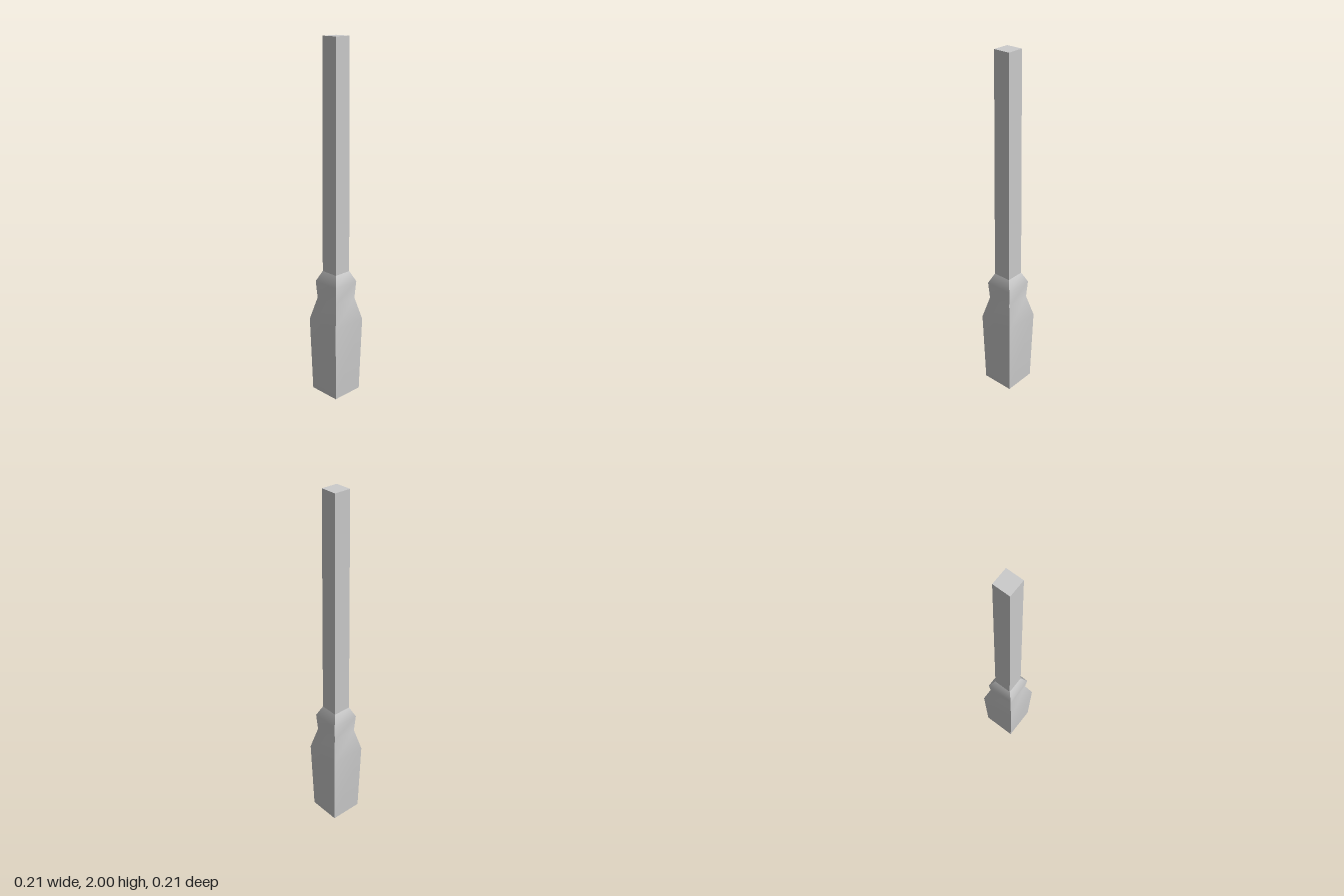
import * as THREE from 'three';
import { mergeGeometries } from 'three/addons/utils/BufferGeometryUtils.js';

// Square tube following a profile of [half width, height]; smooth along the height, sharp at the corners
function squareTube(profile) {
  const sides = [];
  for (let i = 0; i < 4; i++) {
    const side = new THREE.PlaneGeometry(1, 1, 1, profile.length - 1);
    const rows = [...profile].reverse();
    const pos = side.attributes.position;
    for (let v = 0; v < pos.count; v++) {
      const [half, y] = rows[Math.floor(v / 2)];
      pos.setXYZ(v, v % 2 ? half : -half, y, half);
    }
    side.computeVertexNormals();
    sides.push(side.rotateY(i * Math.PI / 2));
  }
  return mergeGeometries(sides);
}

export function createModel() {
  const group = new THREE.Group();
  const material = new THREE.MeshStandardMaterial({ color: 0xcccccc, side: THREE.DoubleSide });
  const add = (name, geometry) => {
    const mesh = new THREE.Mesh(geometry, material);
    mesh.name = name;
    group.add(mesh);
    return mesh;
  };

  // Flared foot with a waist and collar, open underneath
  add('base', squareTube([[0.094, 0], [0.105, 0.44], [0.073, 0.57], [0.08, 0.67], [0.052, 0.73]]));

  // Slightly tapered square shaft
  add('shaft', squareTube([[0.052, 0.73], [0.0475, 2]]));

  // Flat end of the shaft
  const cap = add('topCap', new THREE.PlaneGeometry(0.095, 0.095));
  cap.rotation.x = -Math.PI / 2;
  cap.position.y = 2;

  return group;
}
